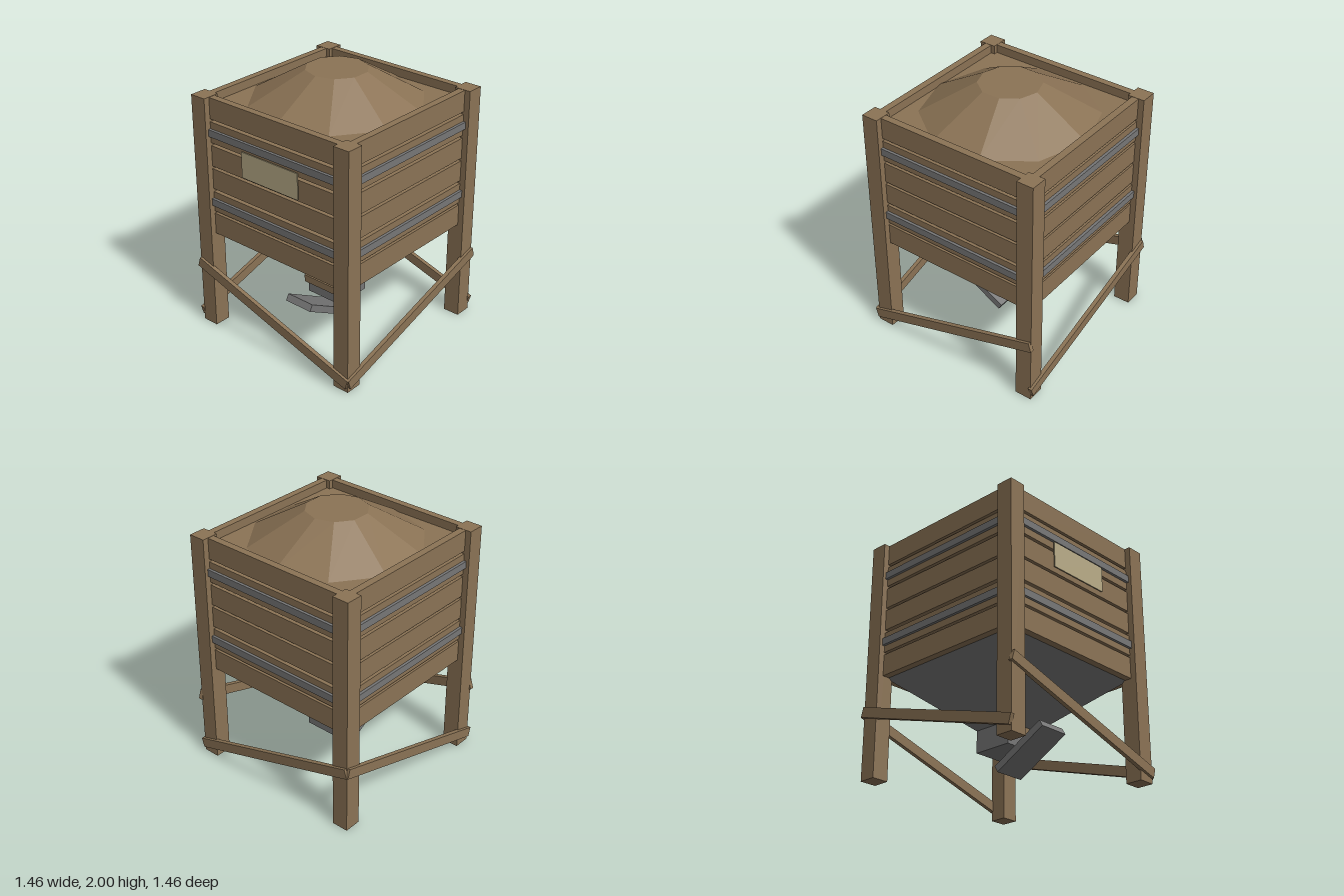
import * as THREE from 'three';

export function createModel() {
  const model = new THREE.Group();
  model.name = 'grainSilo';

  const paint = (name, color) => {
    const m = new THREE.MeshStandardMaterial({ color });
    m.name = name;
    return m;
  };
  const wood = paint('wood', 0x8b7355);
  const metal = paint('metal', 0x777777);
  const cream = paint('cream', 0xb9ac88);
  wood.flatShading = true;
  metal.flatShading = true;

  const add = (parent, name, geometry, material, x = 0, y = 0, z = 0) => {
    const mesh = new THREE.Mesh(geometry, material);
    mesh.name = name;
    mesh.position.set(x, y, z);
    parent.add(mesh);
    return mesh;
  };
  const box = (parent, name, material, w, h, d, x, y, z) =>
    add(parent, name, new THREE.BoxGeometry(w, h, d), material, x, y, z);

  // Four corner posts
  for (const sx of [-1, 1]) {
    for (const sz of [-1, 1]) {
      box(model, 'cornerPost', wood, 0.128, 1.828, 0.128, sx * 0.646, 0.916, sz * 0.646);
    }
  }

  // Four walls: planks, metal straps and a diagonal brace
  const planks = [
    [0.77, 0.933], [0.952, 1.107], [1.13, 1.288],
    [1.308, 1.466], [1.487, 1.647], [1.668, 1.828],
  ];
  const braceSlope = [-1, 1, 1, -1]; // front, right, back, left
  ['front', 'right', 'back', 'left'].forEach((side, i) => {
    const wall = new THREE.Group();
    wall.name = side + 'Wall';
    wall.rotation.y = i * Math.PI / 2;
    for (const [low, high] of planks) {
      box(wall, 'plank', wood, 1.19, high - low, 0.053, 0, (low + high) / 2, 0.639);
    }
    for (const y of [1.03, 1.568]) {
      box(wall, 'strap', metal, 1.18, 0.054, 0.022, 0, y, 0.675);
    }
    const brace = box(wall, 'diagonalBrace', wood, 1.49, 0.075, 0.032, 0, 0.292, 0.714);
    brace.rotation.z = braceSlope[i] * 0.295;
    model.add(wall);
  });

  // Sign plate on the front
  box(model, 'signPlate', cream, 0.515, 0.195, 0.009, 0, 1.43, 0.6905);

  // Filling and its ten-sided heap
  box(model, 'grainFill', wood, 1.226, 0.805, 1.226, 0, 1.3625, 0);
  add(model, 'grainHeap', new THREE.CylinderGeometry(0.225, 0.63, 0.235, 10), wood, 0, 1.8825, 0);

  // Square hopper funnel
  const funnel = new THREE.CylinderGeometry(0.61 * Math.SQRT2, 0.15 * Math.SQRT2, 0.395, 4);
  funnel.rotateY(Math.PI / 4);
  add(model, 'hopper', funnel, metal, 0, 0.5765, 0);

  // Outlet, its wooden gate handle and the tilted chute
  box(model, 'outlet', metal, 0.3, 0.17, 0.3, 0, 0.3, 0);
  box(model, 'gateHandle', wood, 0.33, 0.056, 0.032, 0, 0.333, 0.164);
  const chute = box(model, 'chute', metal, 0.235, 0.054, 0.475, 0, 0.185, 0.215);
  chute.rotation.x = -0.505;

  return model;
}
